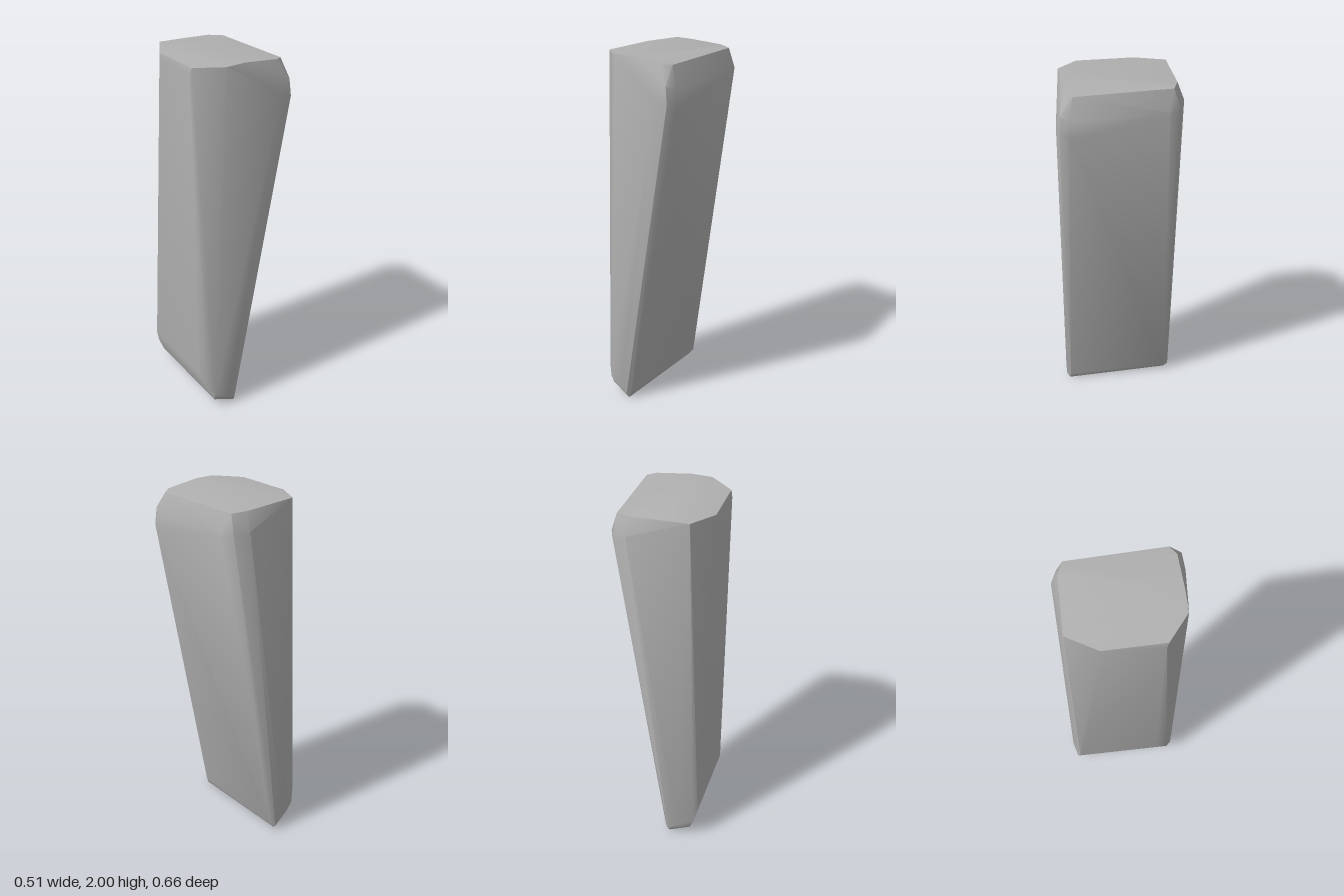
import * as THREE from 'three';
import { ConvexGeometry } from 'three/addons/geometries/ConvexGeometry.js';
import { toCreasedNormals } from 'three/addons/utils/BufferGeometryUtils.js';

const stone = new THREE.MeshStandardMaterial({ color: 0xb0b0b0 });
stone.name = 'stone grey';

// Corner points of each ring as [x, y, z]
const rings = {
  crown: [
    [-0.25, 1.985, -0.12], [-0.165, 1.995, -0.27], [-0.05, 2, -0.25], [0.13, 1.99, -0.265],
    [0.2, 1.985, -0.235], [0.215, 1.98, 0.25], [0.17, 1.985, 0.28], [-0.02, 2, 0.285],
    [-0.125, 1.995, 0.285], [-0.25, 1.985, 0.18],
  ],
  shoulder: [
    [-0.252, 1.95, -0.12], [0.14, 1.9, -0.3], [0.215, 1.88, -0.27], [0.24, 1.88, -0.21],
    [0.25, 1.87, 0.27], [0.225, 1.89, 0.315], [0.256, 1.78, 0.28], [0.235, 1.8, 0.32],
    [0.17, 1.82, 0.33], [-0.258, 1.95, 0.17],
  ],
  foot: [
    [-0.24, 0.2, -0.29], [-0.22, 0.12, -0.305], [-0.12, 0.08, -0.328], [-0.07, 0.03, -0.325],
    [-0.05, 0.04, -0.3], [-0.055, 0.04, 0.29], [-0.075, 0.03, 0.312], [-0.12, 0.06, 0.312],
    [-0.2, 0.1, 0.302], [-0.235, 0.14, 0.27], [-0.248, 0.2, 0.2],
  ],
  base: [[-0.195, 0.05, -0.29], [-0.08, 0, -0.3], [-0.07, 0, 0.295], [-0.195, 0.05, 0.285]],
};

export function createModel() {
  const group = new THREE.Group();
  group.name = 'stoneWedge';
  // Tapered block with worn, chamfered edges
  const points = Object.values(rings).flat().map((p) => new THREE.Vector3(...p));
  const block = new THREE.Mesh(toCreasedNormals(new ConvexGeometry(points), 0.6), stone);
  block.name = 'wedgeBlock';
  group.add(block);
  return group;
}
